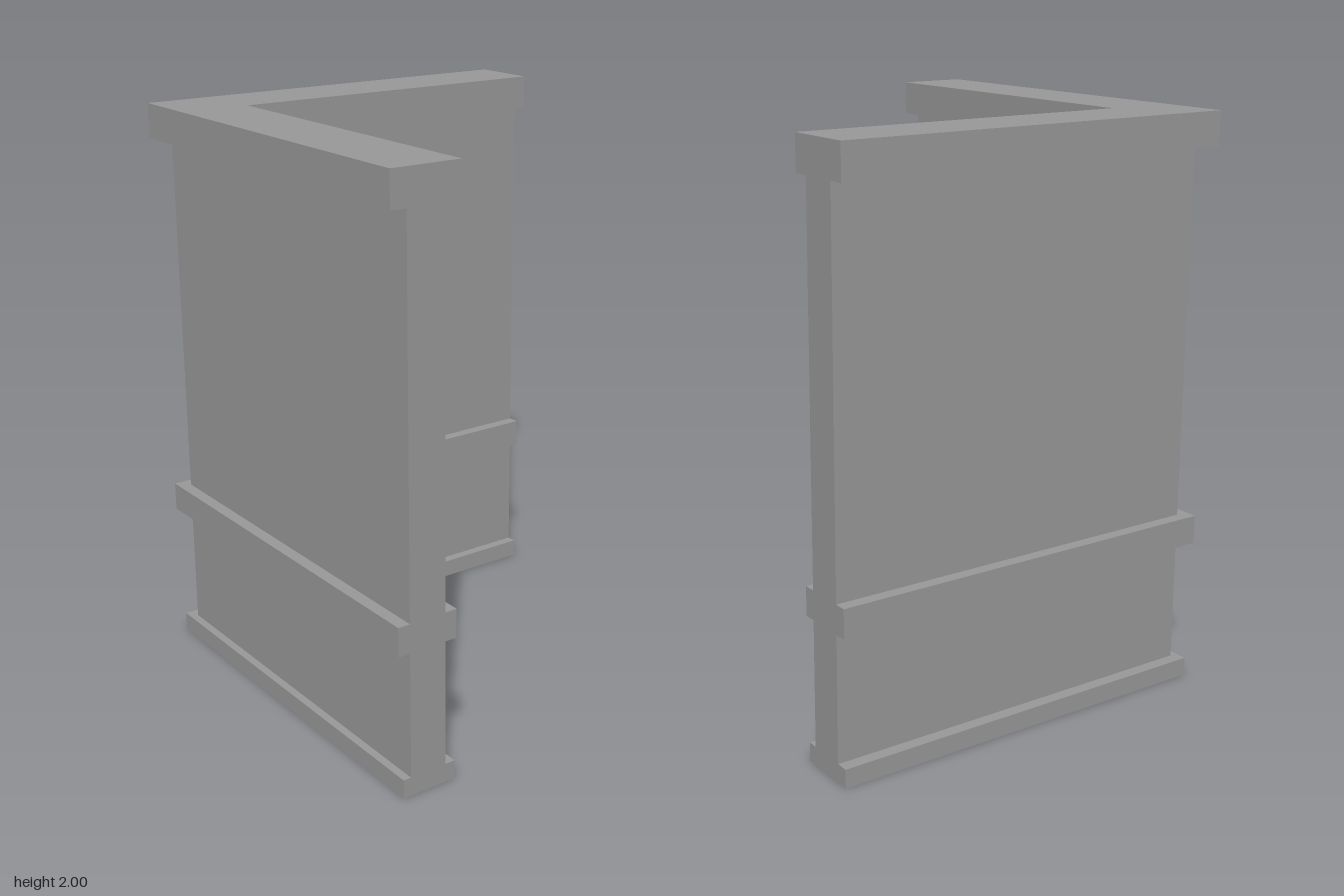
import * as THREE from 'three';

const END = 0.728; // both wings stop here: x = END and z = -END
const material = new THREE.MeshStandardMaterial({ color: 0x999999, side: THREE.DoubleSide });

// L-shaped plan as [x, z]: distances of the outer and inner faces from the centre
function plan(outerX, outerZ, inner) {
  return [
    [-outerX, outerZ], [END, outerZ], [END, inner],
    [-inner, inner], [-inner, -END], [-outerX, -END],
  ];
}

// Shape coordinates are (x, -z), so rotating by -90 degrees about x lays the plan flat
const planShape = (points) => new THREE.Shape(points.map(([x, z]) => new THREE.Vector2(x, -z)));

function addMesh(group, name, geometry, y = 0) {
  const mesh = new THREE.Mesh(geometry, material);
  mesh.name = name;
  mesh.position.y = y;
  group.add(mesh);
}

// Solid L-shaped course between two heights
function addCourse(group, name, points, bottom, top) {
  const geometry = new THREE.ExtrudeGeometry(planShape(points), { depth: top - bottom, bevelEnabled: false });
  geometry.rotateX(-Math.PI / 2);
  addMesh(group, name, geometry, bottom);
}

// Thin upright band that follows the plan, open above and below
function bandGeometry(points, height) {
  const positions = [];
  points.forEach(([x0, z0], i) => {
    const [x1, z1] = points[(i + 1) % points.length];
    positions.push(x0, 0, z0, x1, 0, z1, x1, height, z1);
    positions.push(x0, 0, z0, x1, height, z1, x0, height, z0);
  });
  const geometry = new THREE.BufferGeometry();
  geometry.setAttribute('position', new THREE.Float32BufferAttribute(positions, 3));
  geometry.computeVertexNormals();
  return geometry;
}

export function createModel() {
  const group = new THREE.Group();
  group.name = 'cornerWall';
  const baseHeight = 0.065;

  // Skirting: hollow underneath, closed by a ledge at its top
  const basePlan = plan(0.715, 0.7, 0.501);
  addMesh(group, 'skirting', bandGeometry(basePlan, baseHeight));
  const ledge = new THREE.ShapeGeometry(planShape(basePlan));
  ledge.rotateX(-Math.PI / 2);
  addMesh(group, 'skirtingLedge', ledge, baseHeight);

  // Wall panels (the lower one reaches just below the ledge), chair rail and top cap
  const wallPlan = plan(0.672, 0.672, 0.537);
  addCourse(group, 'lowerWall', wallPlan, baseHeight - 0.005, 0.5);
  addCourse(group, 'chairRail', plan(0.715, 0.715, 0.495), 0.5, 0.6);
  addCourse(group, 'upperWall', wallPlan, 0.6, 1.882);
  addCourse(group, 'topCap', plan(END, END, 0.48), 1.882, 2);

  return group;
}
